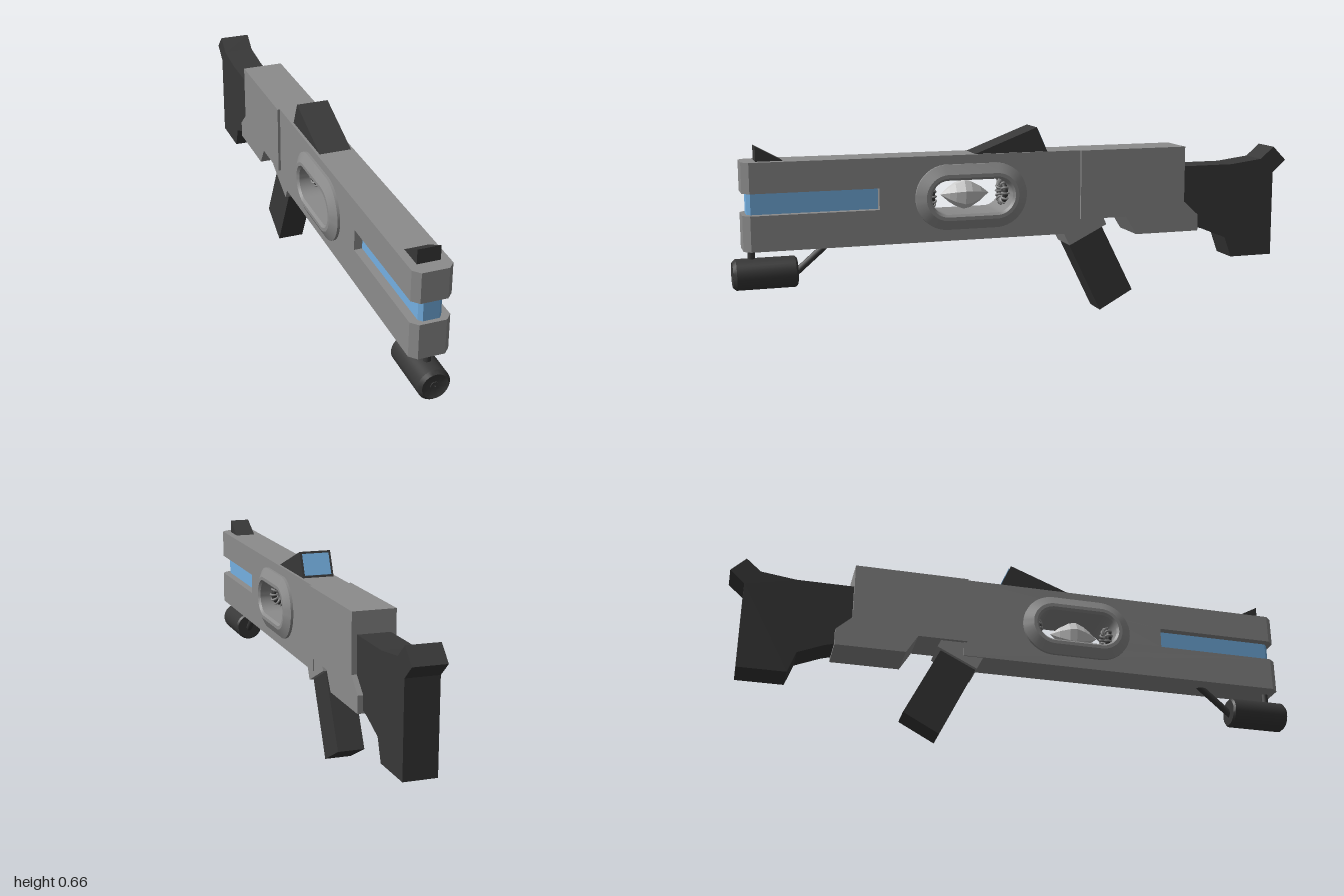
import * as THREE from 'three';
import { toCreasedNormals } from 'three/addons/utils/BufferGeometryUtils.js';

const mat = (color, flatShading = false) => new THREE.MeshStandardMaterial({ color, flatShading });
const grey = mat(0x8c8c8c), dark = mat(0x383838), blue = mat(0x74b0e2);
const pale = mat(0xcccccc, true);

export function createModel() {
  const model = new THREE.Group();

  const add = (name, geometry, material, parent = model) => {
    const mesh = new THREE.Mesh(geometry, material);
    mesh.name = name;
    parent.add(mesh);
    return mesh;
  };
  const makeShape = pts => new THREE.Shape(pts.map(p => new THREE.Vector2(...p)));

  // Side profile of [z, y] points, extruded across x and centred
  const plate = (shape, half) => new THREE.ExtrudeGeometry(shape, { depth: half * 2, bevelEnabled: false, curveSegments: 16 })
    .translate(0, 0, -half).rotateY(-Math.PI / 2);

  // Plan outline from z0 to z1 with chamfered front corners, extruded from y0 to y1
  const chamferedBlock = (half, tip, z0, zc, z1, y0, y1) => new THREE.ExtrudeGeometry(
    makeShape([[-half, -z0], [-half, -zc], [-tip, -z1], [tip, -z1], [half, -zc], [half, -z0]]),
    { depth: y1 - y0, bevelEnabled: false }).rotateX(-Math.PI / 2).translate(0, y0, 0);

  // Round bar between two points
  const rod = (a, b, r) => new THREE.TubeGeometry(
    new THREE.LineCurve3(new THREE.Vector3(...a), new THREE.Vector3(...b)), 1, r, 12);

  // Main body with front slot and oval window
  const cz = 0.204, cy = 0.437, straight = 0.084;
  const body = makeShape([[-0.2, 0.287], [0.94, 0.287], [0.94, 0.405], [0.52, 0.405],
    [0.52, 0.477], [0.94, 0.477], [0.94, 0.578], [-0.2, 0.578]]);
  const oval = new THREE.Path();
  oval.absarc(cz + straight, cy, 0.07, -Math.PI / 2, Math.PI / 2);
  oval.absarc(cz - straight, cy, 0.07, Math.PI / 2, Math.PI * 1.5);
  oval.closePath();
  body.holes.push(oval);
  add('body', plate(body, 0.064), grey);

  // Chamfered nose blocks above and below the glowing bar
  add('upperNose', chamferedBlock(0.064, 0.043, 0.94, 0.942, 0.965, 0.477, 0.578), grey);
  add('lowerNose', chamferedBlock(0.064, 0.043, 0.94, 0.942, 0.965, 0.287, 0.405), grey);
  add('glowBar', chamferedBlock(0.037, 0.026, 0.51, 0.938, 0.95, 0.405, 0.477), blue);

  // Window frame: a turned ring split in half and stretched along z
  const ring = new THREE.LatheGeometry([[0.058, -0.082], [0.066, -0.09], [0.078, -0.09], [0.111, -0.073],
    [0.111, 0.073], [0.078, 0.09], [0.066, 0.09], [0.058, 0.082], [0.058, -0.082]]
    .map(p => new THREE.Vector2(...p)), 40, Math.PI / 40);
  ring.rotateZ(Math.PI / 2);
  const pos = ring.attributes.position;
  for (let i = 0; i < pos.count; i++) pos.setZ(i, pos.getZ(i) + Math.sign(pos.getZ(i)) * straight);
  add('windowFrame', toCreasedNormals(ring, 0.4).translate(0, cy, cz), grey);

  // Crystal floating in the window
  const crystal = new THREE.LatheGeometry([[0, -0.086], [0.027, -0.055], [0.048, -0.02], [0.053, 0.004],
    [0.04, 0.035], [0.026, 0.056], [0, 0.086]].map(p => new THREE.Vector2(...p)), 7);
  crystal.rotateX(Math.PI / 2).scale(0.8, 1, 1).translate(0, cy, 0.211);
  add('crystal', crystal, pale);

  // A coil at each end of the window, wound from small rings
  for (const [name, z] of [['frontCoil', 0.333], ['rearCoil', 0.075]]) {
    const coil = new THREE.Group();
    coil.name = name;
    coil.position.set(0, cy, z);
    model.add(coil);
    add('coilCore', new THREE.TorusGeometry(0.034, 0.01, 8, 32), dark, coil);
    for (let i = 0; i < 14; i++) {
      const a = i / 14 * Math.PI * 2;
      const winding = add('coilWinding', new THREE.TorusGeometry(0.012, 0.004, 6, 14).rotateX(Math.PI / 2), grey, coil);
      winding.position.set(Math.cos(a) * 0.034, Math.sin(a) * 0.034, 0);
      winding.rotation.z = a;
    }
  }

  // Rear housing, wider than the body
  add('rearHousing', plate(makeShape([[-0.19, 0.578], [-0.19, 0.337], [-0.36, 0.337], [-0.4, 0.272],
    [-0.64, 0.272], [-0.64, 0.33], [-0.585, 0.38], [-0.585, 0.578]]), 0.073), grey);

  // Shoulder stock
  add('stock', plate(makeShape([[-0.57, 0.505], [-0.78, 0.505], [-0.9, 0.52], [-0.95, 0.563], [-1, 0.513],
    [-0.95, 0.468], [-0.95, 0.163], [-0.787, 0.163], [-0.76, 0.237], [-0.67, 0.274], [-0.57, 0.3]]), 0.055), dark);

  // Slanted grip and its collar
  add('gripCollar', plate(makeShape([[-0.12, 0.31], [-0.132, 0.287], [-0.153, 0.244], [-0.291, 0.312],
    [-0.278, 0.34], [-0.19, 0.35]]), 0.06), grey);
  add('grip', plate(makeShape([[-0.145, 0.27], [-0.153, 0.25], [-0.275, 0], [-0.398, 0.066],
    [-0.27, 0.32]]), 0.046), dark);

  // Front and rear sights
  add('frontSight', plate(makeShape([[0.917, 0.57], [0.917, 0.626], [0.83, 0.578], [0.83, 0.57]]), 0.037), dark);
  add('scope', plate(makeShape([[0.195, 0.575], [-0.033, 0.662], [-0.072, 0.575]]), 0.055), dark);
  const screen = add('scopeScreen', new THREE.BoxGeometry(0.094, 0.076, 0.004), blue);
  screen.position.set(0, 0.62, -0.0525);
  screen.rotation.x = Math.atan2(0.039, 0.087);

  // Lamp under the nose, with a recessed face, held by two struts
  const lamp = new THREE.LatheGeometry([[0, -0.105], [0.046, -0.105], [0.052, -0.098], [0.052, 0.094],
    [0.042, 0.105], [0.036, 0.102], [0.014, 0.1], [0.014, 0.103], [0.003, 0.103], [0, 0.1]]
    .map(p => new THREE.Vector2(...p)), 32);
  add('lamp', toCreasedNormals(lamp.rotateX(Math.PI / 2), 0.5).translate(0, 0.204, 0.895), dark);
  add('lampPost', rod([0, 0.23, 0.937], [0, 0.295, 0.937], 0.012), dark);
  add('lampBrace', rod([0, 0.185, 0.81], [0, 0.305, 0.67], 0.012), dark);

  return model;
}
